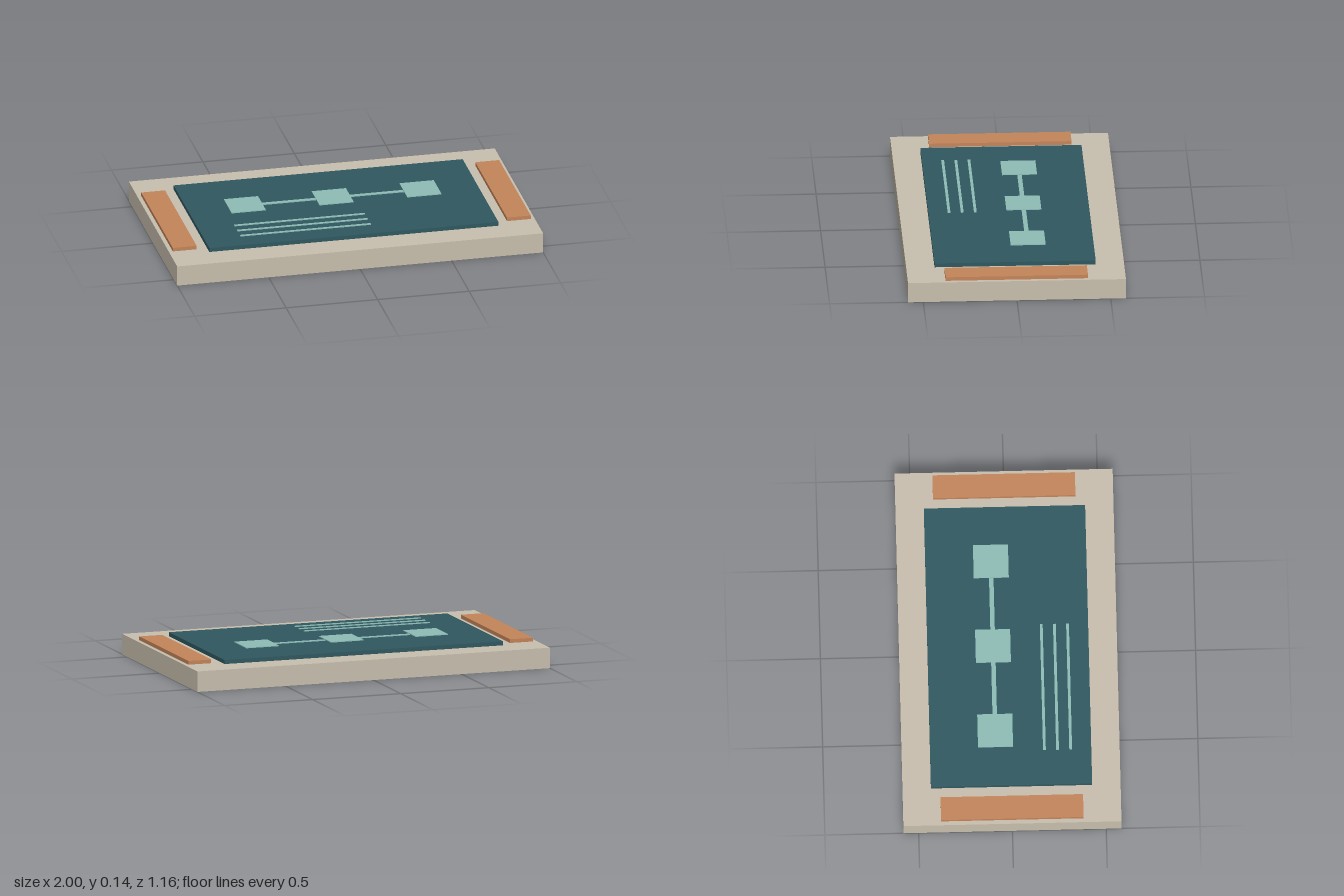
import * as THREE from 'three';

export function createModel() {
  const model = new THREE.Group();
  model.name = 'displayTablet';

  const mat = (color) => new THREE.MeshStandardMaterial({ color });
  const sand = mat(0xc8bfae);
  const teal = mat(0x2f5860);
  const copper = mat(0xc4855a);
  const mint = mat(0x8fbdb6);

  // Box placed by its centre in x and z and its bottom and top heights
  function slab(name, material, width, depth, bottom, top, x = 0, z = 0) {
    const mesh = new THREE.Mesh(new THREE.BoxGeometry(width, top - bottom, depth), material);
    mesh.name = name;
    mesh.position.set(x, (bottom + top) / 2, z);
    model.add(mesh);
  }

  // Body and raised screen
  slab('base', sand, 2, 1.163, 0, 0.111);
  slab('screen', teal, 1.58, 0.86, 0.111, 0.133);

  // Side grips
  for (const side of [-1, 1]) {
    slab(side < 0 ? 'rightGrip' : 'leftGrip', copper, 0.13, 0.76, 0.111, 0.131, side * 0.913);
  }

  // Diagram: three nodes joined by two links
  const nodeZ = -0.08;
  for (const x of [-0.48, 0, 0.48]) slab('diagramNode', mint, 0.187, 0.187, 0.137, 0.141, x, nodeZ);
  for (const x of [-0.24, 0.24]) slab('diagramLink', mint, 0.293, 0.024, 0.133, 0.137, x, nodeZ);

  // Ruled lines below the diagram
  for (let i = 0; i < 3; i++) slab('ruledLine', mint, 0.714, 0.015, 0.138, 0.142, -0.24, 0.18 + i * 0.07);

  return model;
}
